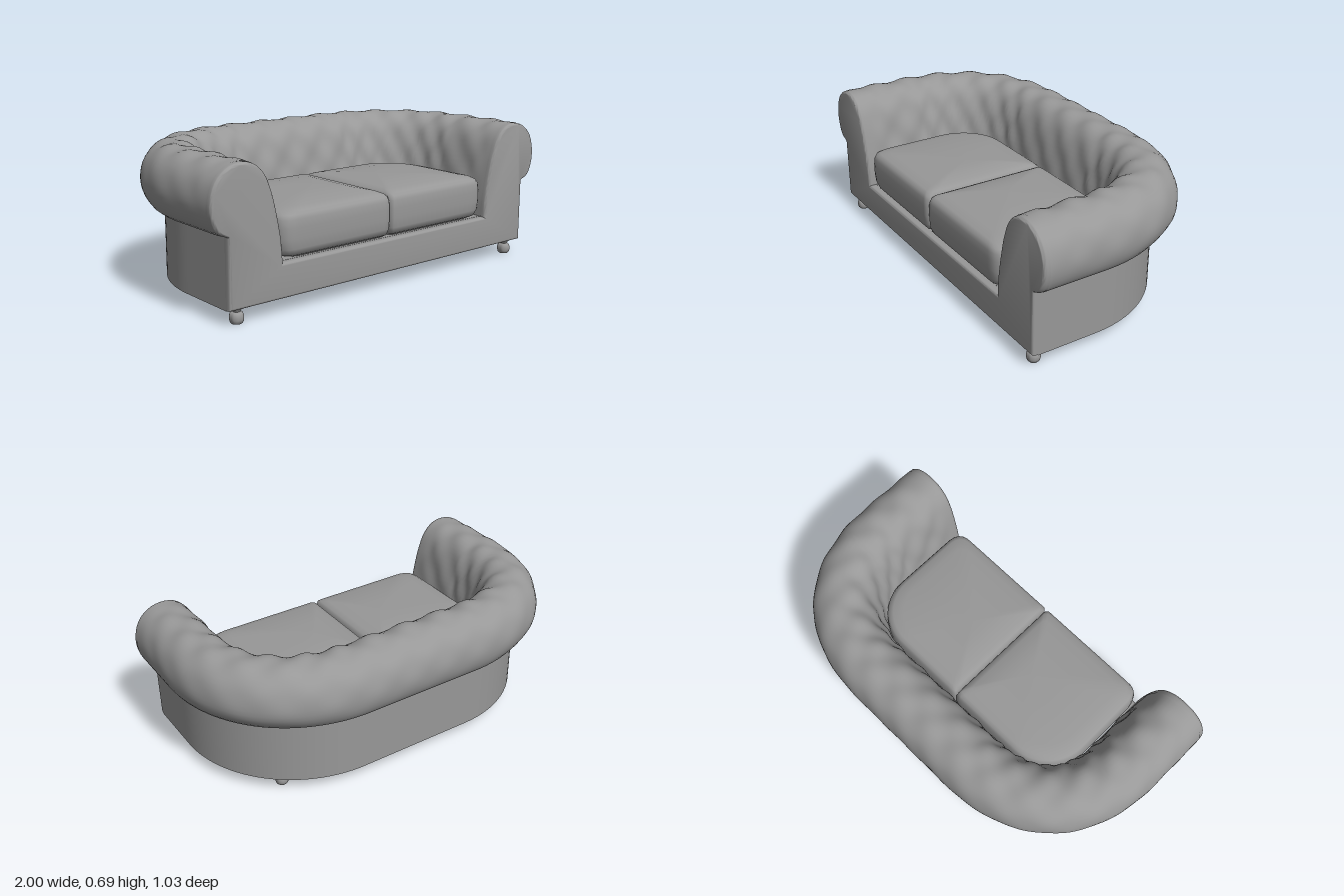
import * as THREE from 'three';
import { toCreasedNormals } from 'three/addons/utils/BufferGeometryUtils.js';

const material = new THREE.MeshStandardMaterial({ color: 0x989898, side: THREE.DoubleSide });
const { smoothstep } = THREE.MathUtils;

// Horseshoe plan of the outer base wall
const HALF = 0.915, RADIUS = 0.615, CX = 0.3, CZ = 0.18, FRONT = 0.48;
const SIDE = FRONT - CZ, ARC = RADIUS * Math.PI / 2;
const LENGTH = 2 * (SIDE + ARC + CX);

// Point and outward direction at distance u along the horseshoe
function planAt(u) {
  const mirrored = u > LENGTH / 2;
  const s = mirrored ? LENGTH - u : u, m = mirrored ? -1 : 1;
  if (s < SIDE) return { x: m * HALF, z: FRONT - s, nx: m, nz: 0 };
  if (s < SIDE + ARC) {
    const a = (s - SIDE) / RADIUS, c = Math.cos(a), n = Math.sin(a);
    return { x: m * (CX + RADIUS * c), z: CZ - RADIUS * n, nx: m * c, nz: -n };
  }
  return { x: m * (CX - (s - SIDE - ARC)), z: CZ - RADIUS, nx: 0, nz: -1 };
}

// Stitch rows of points into a skin; each row is a closed loop
function skin(rows) {
  const n = rows[0].length, index = [];
  for (let i = 0; i < rows.length - 1; i++) {
    for (let j = 0; j < n; j++) {
      const k = (j + 1) % n, a = i * n + j, b = i * n + k, c = a + n, d = b + n;
      index.push(a, b, c, b, d, c);
    }
  }
  const geometry = new THREE.BufferGeometry();
  geometry.setAttribute('position', new THREE.Float32BufferAttribute(rows.flat(2), 3));
  geometry.setIndex(index);
  geometry.computeVertexNormals();
  return geometry;
}

// Sweep a closed [outward, height] section round the horseshoe
function sweep(section, steps, shift = () => [0, 0]) {
  const rows = [];
  for (let i = 0; i <= steps; i++) {
    const u = LENGTH * i / steps, p = planAt(u);
    rows.push(section.map(([d, y], j) => {
      const [out, up] = shift(u, j);
      return [p.x + p.nx * (d + out), y + up, p.z + p.nz * (d + out)];
    }));
  }
  return toCreasedNormals(skin(rows), 0.9);
}

// Profile of the rolled upholstery, from seat up and over to the outside
const rollCurve = new THREE.CatmullRomCurve3([
  [-0.28, 0.232], [-0.274, 0.32], [-0.255, 0.43], [-0.225, 0.55], [-0.19, 0.63], [-0.14, 0.677],
  [-0.08, 0.692], [-0.008, 0.678], [0.053, 0.626], [0.082, 0.54], [0.075, 0.46], [0.045, 0.405], [0.01, 0.39],
].map(([d, y]) => new THREE.Vector3(d, y, 0)));
const ROLL_STEPS = 40;
const rollPoints = rollCurve.getSpacedPoints(ROLL_STEPS);

// Shallow tufting, strongest inside and on top, plus fuller back corners
function upholstery(u, j) {
  if (j >= ROLL_STEPS) return [0, 0];
  const v = j / ROLL_STEPS, t = rollCurve.getTangentAt(v), { nx, nz } = planAt(u);
  const bump = Math.cos(Math.PI * (u - LENGTH / 2) / 0.095) * Math.cos(Math.PI * v * 8);
  const strength = smoothstep(v, 0, 0.2) * (1 - 0.6 * smoothstep(v, 0.55, 0.7)) * (1 - smoothstep(v, 0.75, 0.95))
    * smoothstep(Math.min(u, LENGTH - u), 0, 0.12);
  const swell = bump * 0.008 * strength;
  const corner = 0.028 * (2 * nx * nz) ** 2 * (1 - smoothstep(v, 0.85, 1));
  return [corner - t.y * swell, t.x * swell];
}

// Arm fronts and seat rail cut as one board with softened edges
function frontGeometry() {
  const half = [[HALF, 0.07], [HALF, 0.385],
    ...[...rollPoints].reverse().slice(1).map(p => [HALF + p.x, p.y])];
  const outline = [...half, ...half.map(([x, y]) => [-x, y]).reverse()];
  const shape = new THREE.Shape(outline.map(([x, y]) => new THREE.Vector2(x, y)));
  const geometry = new THREE.ExtrudeGeometry(shape, {
    depth: 0.02, bevelThickness: 0.015, bevelSize: 0.012, bevelOffset: -0.014, bevelSegments: 4,
  });
  return toCreasedNormals(geometry.translate(0, 0, 0.475), 0.9);
}

// Crowned cushion: plan outline scaled through a stack of heights
function cushionGeometry(side) {
  const plan = new THREE.Shape();
  plan.moveTo(0.015, 0.5).lineTo(0.56, 0.5);
  plan.quadraticCurveTo(0.634, 0.5, 0.634, 0.42);
  plan.lineTo(0.634, 0.085);
  plan.absarc(0.394, 0.085, 0.24, 0, -Math.PI / 2, true);
  plan.lineTo(0.015, -0.155);
  plan.quadraticCurveTo(0, -0.155, 0, -0.14);
  plan.lineTo(0, 0.485);
  plan.quadraticCurveTo(0, 0.5, 0.015, 0.5);
  const outline = plan.getSpacedPoints(96).slice(0, -1);
  if (side < 0) outline.reverse();
  const layers = [[0, 0.215], [0.4, 0.217], [0.7, 0.223], [0.88, 0.232], [0.96, 0.246], [0.99, 0.275],
    [1, 0.32], [1, 0.37], [0.992, 0.405], [0.97, 0.425], [0.92, 0.438], [0.8, 0.449], [0.5, 0.46],
    [0.25, 0.463], [0, 0.464]];
  const rows = layers.map(([s, y]) => outline.map(p =>
    [side * (0.2 + (p.x - 0.2) * s), y, 0.172 + (p.y - 0.172) * s]));
  return skin(rows);
}

// Turned bun foot
function footGeometry() {
  const profile = [[0, 0], [0.023, 0], [0.029, 0.007], [0.032, 0.018], [0.032, 0.033], [0.028, 0.045], [0.021, 0.051],
    [0.017, 0.052], [0.019, 0.058], [0.026, 0.064], [0.029, 0.075], [0, 0.075]];
  return toCreasedNormals(new THREE.LatheGeometry(profile.map(([r, y]) => new THREE.Vector2(r, y)), 20), 0.7);
}

export function createModel() {
  const sofa = new THREE.Group();
  sofa.name = 'sofa';
  const add = (name, geometry, x = 0, y = 0, z = 0) => {
    const mesh = new THREE.Mesh(geometry, material);
    mesh.name = name;
    mesh.position.set(x, y, z);
    sofa.add(mesh);
  };

  // Hollow base wall and the upholstered roll above it
  add('baseWall', sweep([[-0.09, 0.07], [-0.09, 0.4], [0, 0.4], [0, 0.07]], 96));
  add('tuftedRoll', sweep([...rollPoints.map(p => [p.x, p.y]), [-0.1, 0.39]], 220, upholstery));

  // Front board with a ledge that carries the cushions
  add('frontPanel', frontGeometry());
  add('seatLedge', new THREE.BoxGeometry(1.4, 0.025, 0.1), 0, 0.2175, 0.42);

  // Mirrored cushions and feet
  for (const side of [1, -1]) {
    const label = side > 0 ? 'left' : 'right';
    add(label + 'Cushion', cushionGeometry(side));
    add(label + 'FrontFoot', footGeometry(), side * 0.85, 0, 0.46);
    add(label + 'BackFoot', footGeometry(), side * 0.645, 0, -0.245);
  }
  return sofa;
}
